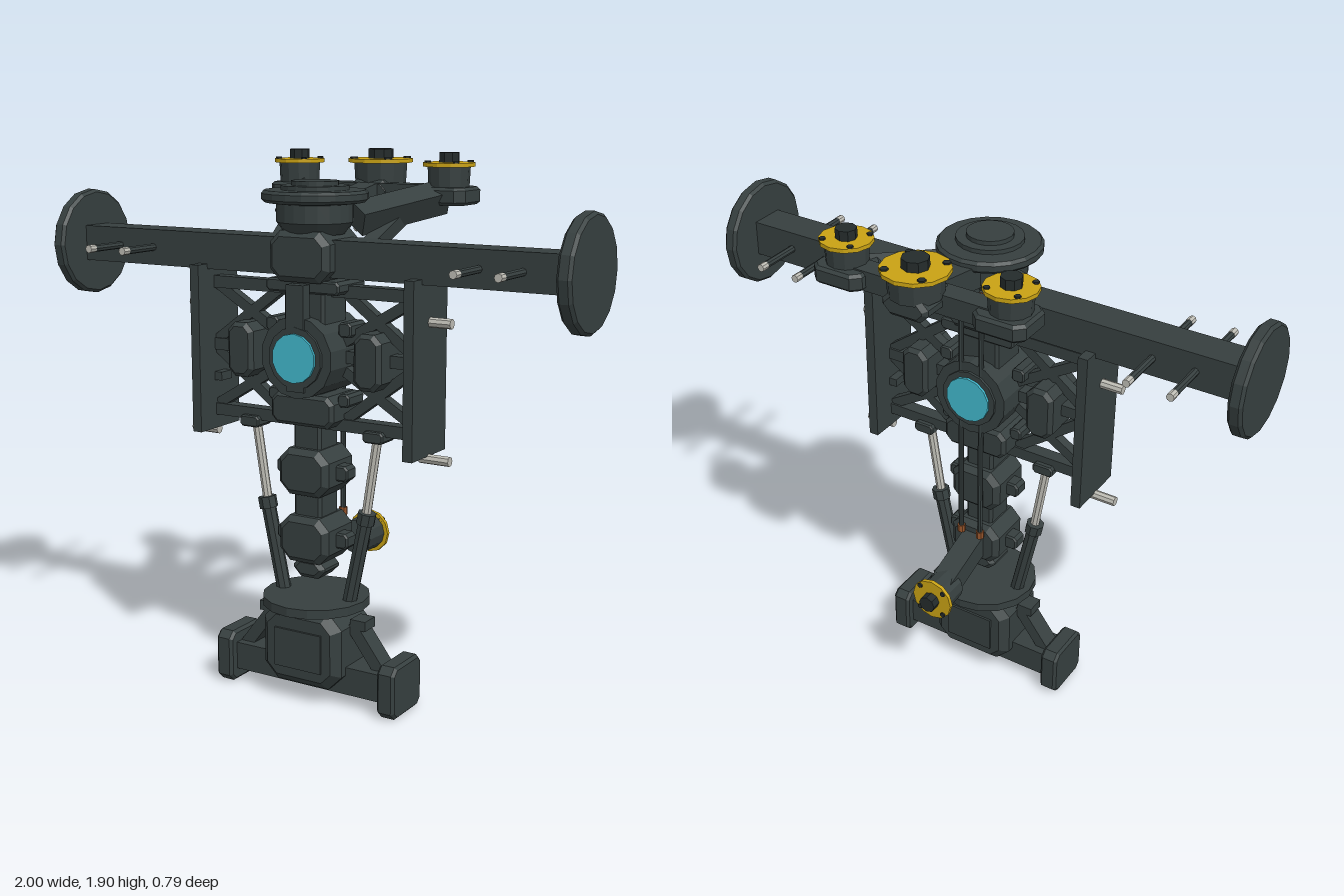
import * as THREE from 'three';

const mat = (name, color) => {
  const m = new THREE.MeshStandardMaterial({ color });
  m.name = name;
  return m;
};
const CZ = 0.155; // depth of the main axis

export function createModel() {
  const root = new THREE.Group();
  root.name = 'stationTruss';
  const hull = mat('darkHull', 0x363f3f), cap = mat('blackCap', 0x242b2b), yellow = mat('yellowRing', 0xc9a214);
  const glass = mat('cyanGlass', 0x42b8cc), steel = mat('paleSteel', 0xbdbcb4), copper = mat('copper', 0x94532a);

  // faceted mesh
  const add = (name, geo, material, x = 0, y = 0, z = CZ, parent = root) => {
    const g = geo.index ? geo.toNonIndexed() : geo;
    g.computeVertexNormals();
    const mesh = new THREE.Mesh(g, material);
    mesh.name = name;
    mesh.position.set(x, y, z);
    parent.add(mesh);
    return mesh;
  };
  const box = (w, h, d) => new THREE.BoxGeometry(w, h, d);
  const cyl = (r, h, n = 12, r2 = r) => new THREE.CylinderGeometry(r, r2, h, n);
  // box with cut corners and bevelled front and back
  const cutBox = (w, h, d, c, b = c * 0.5) => {
    const a = w / 2, e = h / 2;
    const shape = new THREE.Shape([[-a + c, -e], [a - c, -e], [a, -e + c], [a, e - c], [a - c, e], [-a + c, e], [-a, e - c], [-a, -e + c]]
      .map(p => new THREE.Vector2(...p)));
    const g = new THREE.ExtrudeGeometry(shape, { depth: d - 2 * b, bevelEnabled: true, bevelThickness: b, bevelSize: b, bevelOffset: -b, bevelSegments: 1 });
    return g.translate(0, 0, -d / 2 + b);
  };
  // bar between two points; n = 4 gives a square section w by d
  const bar = (name, a, b, w, material = hull, n = 4, d = w) => {
    const p = new THREE.Vector3(...a), q = new THREE.Vector3(...b), dir = q.clone().sub(p);
    const g = n === 4 ? box(w, dir.length(), d) : cyl(w / 2, dir.length(), n);
    const m = add(name, g, material);
    m.position.copy(p).add(q).multiplyScalar(0.5);
    m.quaternion.setFromUnitVectors(new THREE.Vector3(0, 1, 0), dir.normalize());
    return m;
  };

  // docking pod with yellow ring, cap and four bolts, pointing along +y
  const pod = (name, x, y, z, r, bodyH) => {
    const g = new THREE.Group();
    g.name = name;
    g.position.set(x, y, z);
    add('podBody', cyl(r * 0.82, bodyH, 12, r * 0.78), hull, 0, -bodyH / 2, 0, g);
    add('podRing', cyl(r, 0.014), yellow, 0, 0.005, 0, g);
    add('podCap', cyl(r * 0.4, 0.035, 8), cap, 0, 0.028, 0, g);
    for (let i = 0; i < 4; i++) {
      const a = Math.PI / 4 + i * Math.PI / 2;
      add('podBolt', cyl(r * 0.12, 0.02, 6), cap, Math.cos(a) * r * 0.85, 0.008, Math.sin(a) * r * 0.85, g);
    }
    root.add(g);
    return g;
  };

  // main beam, hub and turntable
  add('mainBeam', box(1.92, 0.125, 0.125), hull, 0, 1.565);
  add('beamHub', cutBox(0.235, 0.17, 0.23, 0.04), hull, 0, 1.57);
  const turntable = [[0, 1.64], [0.1, 1.64], [0.13, 1.68], [0.13, 1.74], [0.17, 1.745], [0.18, 1.755], [0.18, 1.775], [0.17, 1.785],
    [0.115, 1.785], [0.115, 1.8], [0.08, 1.8], [0.08, 1.815], [0, 1.815]].map(p => new THREE.Vector2(...p));
  add('turntable', new THREE.LatheGeometry(turntable, 20), hull);

  // pod carrier
  add('carrierBar', box(0.62, 0.07, 0.075), hull, 0, 1.755, -0.225);
  bar('centreArm', [0, 1.7, 0.1], [0, 1.76, -0.25], 0.08, hull, 4, 0.08);
  add('centreMount', cutBox(0.17, 0.08, 0.17, 0.03), hull, 0, 1.76, -0.27);
  pod('centrePod', 0, 1.86, -0.28, 0.115, 0.08);
  // bow strut under the carrier
  bar('armStrut', [0, 1.62, 0.08], [0, 1.73, -0.14], 0.05);

  // rear pod on its arm
  bar('rearArm', [0, 0.6, 0.1], [0, 0.515, -0.15], 0.085);
  pod('rearPod', 0, 0.51, -0.21, 0.08, 0.1).rotation.x = -Math.PI / 2;

  // vertical column and joints
  add('column', cutBox(0.11, 1.0, 0.12, 0.02), hull, 0, 1.02);
  add('upperColumn', cutBox(0.16, 0.26, 0.15, 0.02), hull, 0, 1.42);
  add('upperCollar', cutBox(0.29, 0.045, 0.17, 0.012), hull, 0, 1.47);
  add('lowerCollar', cutBox(0.25, 0.11, 0.19, 0.025), hull, 0, 1.05);
  for (const y of [0.83, 0.59]) {
    add('joint', cutBox(0.2, 0.165, 0.19, 0.04), hull, 0, y);
    add('jointTabs', cutBox(0.29, 0.055, 0.06, 0.012), hull, 0, y);
  }
  add('columnFoot', cutBox(0.13, 0.07, 0.12, 0.03), hull, 0, 0.48);

  // round viewport drum, glass on both faces
  add('viewportDrum', cyl(0.14, 0.245, 14).rotateX(Math.PI / 2), hull, 0, 1.235);
  for (const s of [1, -1]) {
    add('viewportRim', cyl(0.105, 0.264, 14).rotateX(Math.PI / 2), hull, 0, 1.235);
    add('viewportGlass', cyl(0.084, 0.009, 14).rotateX(Math.PI / 2), glass, 0, 1.235, CZ + s * 0.1365);
  }
  add('frontPost', box(0.07, 0.36, 0.04), hull, 0, 1.3, 0.265);

  // truss rails
  for (const y of [1.455, 1.235, 1.0]) add('trussRail', box(0.82, 0.042, 0.05), hull, 0, y);

  // base
  add('basePlate', cyl(0.19, 0.032, 16), hull, 0, 0.36);
  add('baseBlock', cutBox(0.32, 0.28, 0.24, 0.055, 0.03), hull, 0, 0.205);
  add('basePanel', box(0.19, 0.14, 0.256), hull, 0, 0.2);
  add('baseBar', box(0.64, 0.1, 0.13), hull, 0, 0.1);

  for (const s of [1, -1]) {
    // beam end discs
    const end = [[0, -0.025], [0.18, -0.025], [0.19, -0.015], [0.19, 0.015], [0.18, 0.025], [0, 0.025]].map(p => new THREE.Vector2(...p));
    add('endDisc', new THREE.LatheGeometry(end, 16).rotateZ(Math.PI / 2), hull, s * 0.975, 1.565);
    // cross rods with pale tips
    for (const x of [0.64, 0.79]) {
      add('crossRod', cyl(0.013, 0.42, 8).rotateX(Math.PI / 2), hull, s * x, 1.565, 0.152);
      for (const t of [1, -1]) add('rodTip', cyl(0.014, 0.03, 8).rotateX(Math.PI / 2), steel, s * x, 1.565, 0.152 + t * 0.224);
    }
    // side pod, mount and arm
    bar('sideArm', [s * 0.13, 1.69, 0.1], [s * 0.29, 1.75, -0.2], 0.085);
    add('sideMount', cutBox(0.19, 0.17, 0.06, 0.03, 0.01).rotateX(Math.PI / 2), hull, s * 0.3, 1.755, -0.225);
    pod('sidePod', s * 0.305, 1.855, -0.22, 0.09, 0.08);
    bar('sideArmBrace', [s * 0.18, 1.6, 0.1], [s * 0.22, 1.73, -0.12], 0.05);
    bar('carrierPiston', [s * 0.08, 1.65, 0.03], [s * 0.18, 1.73, -0.13], 0.022, steel, 8);
    // side panel with pegs
    add('sidePanel', box(0.036, 0.59, 0.23), hull, s * 0.423, 1.225);
    for (const y of [1.375, 0.92]) add('panelPeg', cyl(0.017, 0.11, 8).rotateZ(Math.PI / 2), steel, s * 0.465, y);
    // truss diagonals
    const brace = (x1, y1, x2, y2) => bar('trussBrace', [s * x1, y1, CZ], [s * x2, y2, CZ], 0.036);
    brace(0.4, 1.45, 0.1, 1.27);
    brace(0.13, 1.45, 0.4, 1.25);
    brace(0.4, 1.02, 0.1, 1.2);
    brace(0.13, 1.02, 0.4, 1.22);
    // equipment boxes and tabs
    add('equipmentBox', cutBox(0.105, 0.19, 0.19, 0.028), hull, s * 0.253, 1.235);
    add('upperTab', cutBox(0.05, 0.05, 0.1, 0.01), hull, s * 0.145, 1.33);
    add('lowerTab', cutBox(0.045, 0.045, 0.1, 0.01), hull, s * 0.14, 1.09);
    add('panelTab', box(0.03, 0.03, 0.06), hull, s * 0.39, 1.12);
    // telescopic strut
    bar('strutRod', [s * 0.25, 0.99, CZ], [s * 0.2, 0.67, CZ], 0.034, steel, 8);
    bar('strutSleeve', [s * 0.205, 0.69, CZ], [s * 0.135, 0.36, CZ], 0.052, hull, 8);
    bar('strutCollar', [s * 0.207, 0.7, CZ], [s * 0.199, 0.66, CZ], 0.066, hull, 8);
    add('strutAnchor', cutBox(0.08, 0.04, 0.09, 0.01), hull, s * 0.25, 0.975);
    // rear conduits with copper ends
    bar('conduit', [s * 0.04, 0.65, 0.04], [s * 0.04, 1.62, 0.04], 0.02, hull, 8);
    for (const y of [0.655, 1.63]) add('conduitEnd', cyl(0.015, 0.028, 8), copper, s * 0.04, y, 0.04);
    // base feet and braces
    add('foot', cutBox(0.2, 0.19, 0.068, 0.025, 0.01).rotateY(Math.PI / 2), hull, s * 0.336, 0.1);
    bar('footBrace', [s * 0.29, 0.13, CZ], [s * 0.16, 0.3, CZ], 0.045, hull, 4, 0.07);
    add('baseLug', box(0.06, 0.035, 0.07), hull, s * 0.19, 0.3);
  }
  return root;
}
